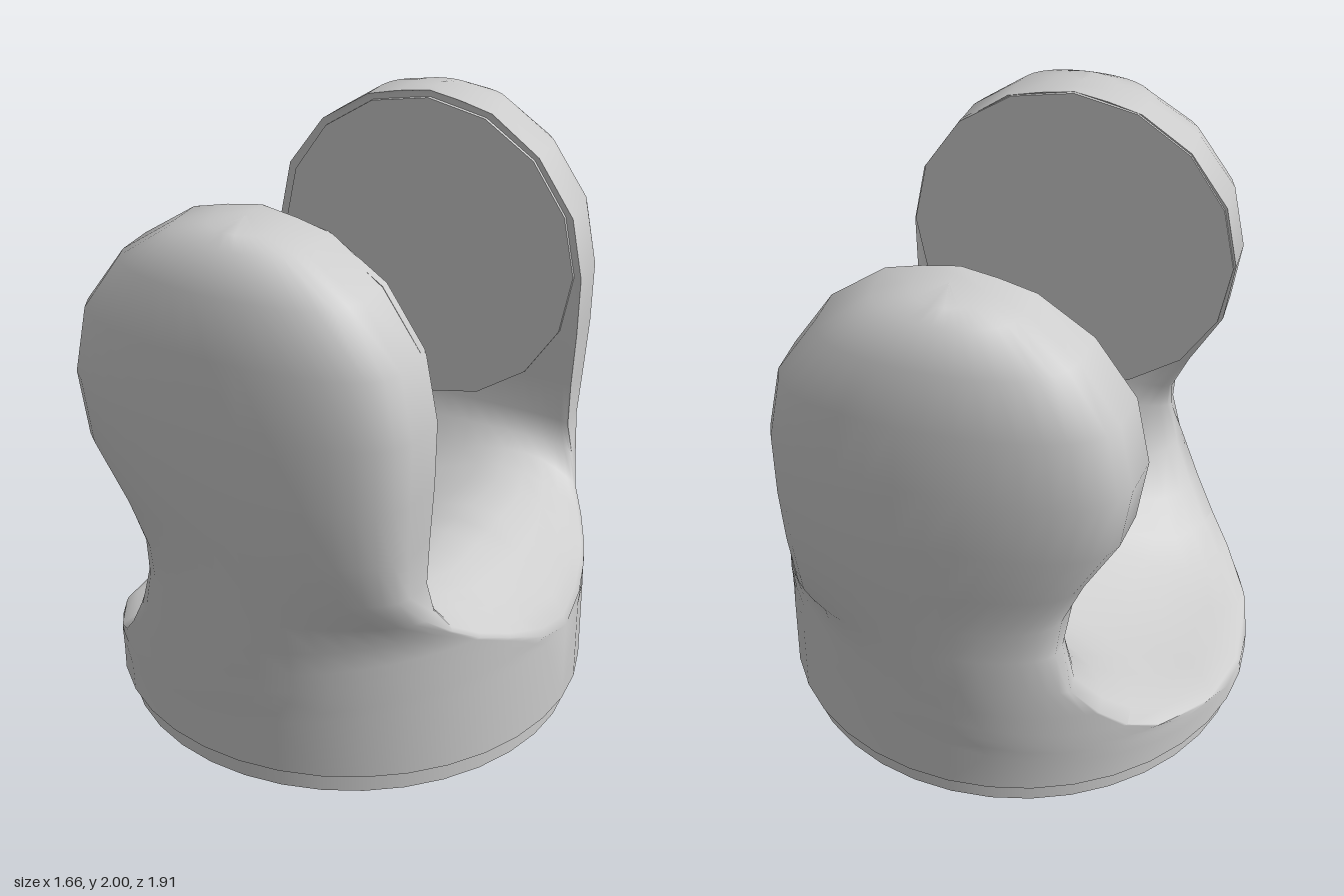
import * as THREE from 'three';
import { toCreasedNormals } from 'three/addons/utils/BufferGeometryUtils.js';

const R = 0.83; // radius of the body wall
const COLS = 18;
const lerp = THREE.MathUtils.lerp;

// Stations from the ear tip down the neck to the middle of the saddle:
// [left x, left y, right x, right y, outer depth, wall blend, inner y, inner z]
const ROWS = [
  [0, 2, 0, 2, 0.7, 0, 2, 0.6],
  [-0.12, 1.98, 0.12, 1.98, 0.8, 0, 1.98, 0.6],
  [-0.24, 1.95, 0.24, 1.95, 0.86, 0, 1.95, 0.6],
  [-0.42, 1.83, 0.42, 1.82, 0.92, 0, 1.82, 0.6],
  [-0.555, 1.64, 0.555, 1.62, 0.948, 0, 1.63, 0.6],
  [-0.6, 1.41, 0.597, 1.4, 0.957, 0, 1.4, 0.6],
  [-0.565, 1.19, 0.592, 1.18, 0.95, 0, 1.18, 0.6],
  [-0.45, 0.99, 0.58, 0.98, 0.93, 0.05, 0.98, 0.6],
  [-0.38, 0.83, 0.575, 0.82, 0.91, 0.25, 0.84, 0.6],
  [-0.367, 0.7, 0.6, 0.71, 0.9, 0.6, 0.76, 0.57],
  [-0.41, 0.54, 0.64, 0.62, 0.885, 1, 0.725, 0.5],
  [-0.49, 0.41, 0.7, 0.56, 0.872, 1, 0.705, 0.4],
  [-0.57, 0.31, 0.76, 0.51, 0.863, 1, 0.7, 0.29],
  [-0.66, 0.24, 0.79, 0.475, 0.857, 1, 0.7, 0.2],
  [-0.78, 0.19, 0.815, 0.425, 0.851, 1, 0.7, 0.1],
  [-R, 0.14, R, 0.385, 0.845, 1, 0.7, 0],
];

// Saddle floor height across x: a low scoop on one side, a crest on the other
const FLOOR = [
  [-R, 0.14], [-0.75, 0.175], [-0.6, 0.21], [-0.45, 0.26], [-0.3, 0.335], [-0.15, 0.43],
  [0, 0.53], [0.15, 0.615], [0.3, 0.675], [0.42, 0.7], [0.54, 0.68],
  ...ROWS.filter((r) => r[5] === 1).map((r) => [r[2], r[3]]),
];
function floorY(x) {
  const i = Math.max(1, FLOOR.findIndex((p) => p[0] >= x - 1e-6));
  const [a, b] = [FLOOR[i - 1], FLOOR[i]];
  return lerp(a[1], b[1], (x - a[0]) / (b[0] - a[0]));
}

// Round wall that bulges towards the ears
function wall(x, depth) {
  const s = Math.max(0, 1 - (x / R) ** 2);
  return R * Math.sqrt(s) + (depth - R) * s * s;
}

// Outer shell: a rounded ear section that melts into the round wall
function outerRow([xl, yl, xr, yr, depth, k]) {
  return Array.from({ length: COLS + 1 }, (_, j) => {
    const a = (Math.PI * j) / COLS;
    const c = (1 - Math.cos(a)) / 2;
    const x = lerp(xl, xr, c);
    const edge = j === 0 || j === COLS;
    const ear = edge ? 0.595 : lerp(0.595, depth, Math.sin(a) ** 0.47);
    return [x, lerp(yl, yr, c), lerp(ear, wall(x, depth), k)];
  });
}

// Inner face: flat on the ears, filleted into the lopsided saddle floor
function innerRow(row) {
  const [xl, yl, , , , k, midY, midZ] = row;
  const rim = outerRow(row);
  const [pl, pr] = [rim[0], rim[COLS]];
  return rim.map(([x], j) => {
    const u = -Math.cos((Math.PI * j) / COLS);
    const b = Math.sqrt(Math.max(0, 1 - u ** 4));
    const c = (u + 1) / 2;
    const floor = floorY(x) + (yl - floorY(xl)) * (1 - c) ** 3 + (midY - 0.7) * b;
    const y = k === 1 ? floor : lerp(lerp(pl[1], pr[1], c), midY, b);
    return [x, y, lerp(lerp(pl[2], pr[2], c), midZ, b)];
  });
}

function bodyGeometry() {
  const out = [];
  const skin = (rows, flip, side) => {
    const put = (...pts) => {
      if (flip !== side < 0) pts.reverse();
      for (const [x, y, z] of pts) out.push(x, y, z * side);
    };
    for (let i = 0; i < rows.length - 1; i++) {
      for (let j = 0; j < COLS; j++) {
        const a = rows[i][j], b = rows[i + 1][j], c = rows[i + 1][j + 1], d = rows[i][j + 1];
        put(a, b, c);
        put(a, c, d);
      }
    }
  };
  const foot = outerRow([-R, 0.08, R, 0.08, 0.83, 1]);
  const outer = [...ROWS.map(outerRow), foot];
  const inner = ROWS.map(innerRow);
  for (const side of [1, -1]) {
    skin(outer, false, side);
    skin(inner, true, side);
  }
  const geo = new THREE.BufferGeometry();
  geo.setAttribute('position', new THREE.Float32BufferAttribute(out, 3));
  return toCreasedNormals(geo, 1.3);
}

export function createModel() {
  const group = new THREE.Group();
  const material = new THREE.MeshStandardMaterial({ color: 0xcccccc });
  const add = (name, geometry) => {
    const mesh = new THREE.Mesh(geometry, material);
    mesh.name = name;
    group.add(mesh);
    return mesh;
  };

  // Forked body: two ears, necks, saddle and round wall
  add('yokeBody', bodyGeometry());

  // Stepped foot under the wall
  add('baseRing', new THREE.CylinderGeometry(0.8, 0.8, 0.08, COLS * 2)).position.y = 0.04;
  const lip = add('baseLip', new THREE.RingGeometry(0.78, R, COLS * 2));
  lip.rotation.x = Math.PI / 2;
  lip.position.y = 0.08;

  // Round pads on the facing sides of the ears: full in front, stepped at the back
  for (const [name, radius, z] of [['frontPivotPad', 0.592, 0.603], ['backPivotPad', 0.57, -0.6]]) {
    const pad = add(name, new THREE.CylinderGeometry(radius, radius, 0.03, 16));
    pad.rotation.x = Math.PI / 2;
    pad.position.set(0, 1.405, z);
  }
  return group;
}
